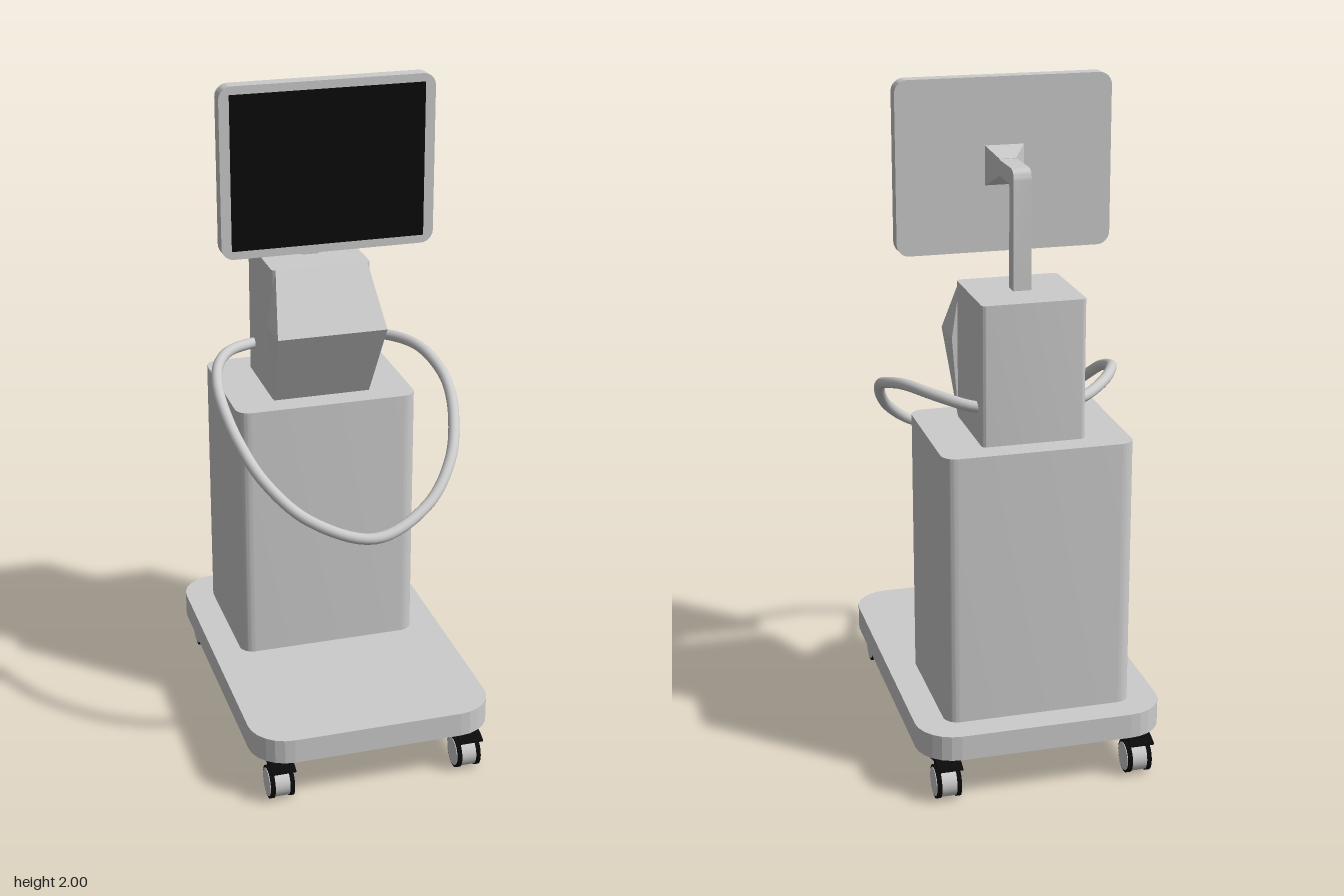
import * as THREE from 'three';
import { toCreasedNormals } from 'three/addons/utils/BufferGeometryUtils.js';

const grey = new THREE.MeshStandardMaterial({ color: 0xcccccc });
const black = new THREE.MeshStandardMaterial({ color: 0x0a0a0a });

function add(parent, name, geometry, material = grey) {
  const mesh = new THREE.Mesh(geometry, material);
  mesh.name = name;
  parent.add(mesh);
  return mesh;
}

// Rounded rectangle centred on the origin
function roundedRect(w, h, r) {
  const x = w / 2, y = h / 2, q = Math.PI / 2;
  const s = new THREE.Shape();
  s.absarc(x - r, y - r, r, 0, q);
  s.absarc(-x + r, y - r, r, q, 2 * q);
  s.absarc(-x + r, -y + r, r, 2 * q, 3 * q);
  s.absarc(x - r, -y + r, r, 3 * q, 4 * q);
  s.closePath();
  return s;
}

const extrude = (shape, depth, curveSegments) =>
  new THREE.ExtrudeGeometry(shape, { depth, curveSegments, bevelEnabled: false });

// Upright block with rounded vertical edges
function block(w, d, r, y0, y1, z, segments, smooth = true) {
  const g = extrude(roundedRect(w, d, r), y1 - y0, segments).rotateX(-Math.PI / 2).translate(0, y0, z);
  return smooth ? toCreasedNormals(g, 0.6) : g;
}

// Side profile of [z, y] points, extruded to a width across x
function sideProfile(shape, width, segments = 6) {
  return toCreasedNormals(
    extrude(shape, width, segments).rotateY(-Math.PI / 2).translate(width / 2, 0, 0), 0.6);
}

// Solid skinned through equal-sided loops, capped at both ends
function loft(loops) {
  const pos = [];
  const tri = (a, b, c) => pos.push(...a, ...b, ...c);
  const n = loops[0].length;
  for (let k = 0; k + 1 < loops.length; k++) {
    for (let i = 0; i < n; i++) {
      const j = (i + 1) % n, A = loops[k], B = loops[k + 1];
      tri(A[i], A[j], B[j]);
      tri(A[i], B[j], B[i]);
    }
  }
  const first = loops[0], last = loops[loops.length - 1];
  for (let i = 1; i + 1 < n; i++) {
    tri(first[0], first[i + 1], first[i]);
    tri(last[0], last[i], last[i + 1]);
  }
  const g = new THREE.BufferGeometry();
  g.setAttribute('position', new THREE.Float32BufferAttribute(pos, 3));
  g.computeVertexNormals();
  return g;
}

// Swivel caster with its stem on the origin and the wheel trailing to +z
function createCaster() {
  const caster = new THREE.Group();
  caster.name = 'caster';
  const disc = (r, w, y, z) =>
    new THREE.CylinderGeometry(r, r, w, 28).rotateZ(Math.PI / 2).translate(0, y, z);
  const wy = 0.052, wz = 0.022;
  for (const s of [-1, 1]) {
    add(caster, 'tyre', disc(0.049, 0.013, wy, wz).translate(s * 0.029, 0, 0), black);
    add(caster, 'hubCap', disc(0.042, 0.003, wy, wz).translate(s * 0.036, 0, 0));
  }
  add(caster, 'wheelCore', disc(0.046, 0.046, wy, wz));
  add(caster, 'stem', new THREE.CylinderGeometry(0.012, 0.012, 0.03, 16).translate(0, 0.13, 0));
  add(caster, 'swivelHousing', new THREE.BoxGeometry(0.05, 0.045, 0.036).translate(0, 0.107, -0.002), black);
  // Curved guard above the wheel
  const guard = new THREE.Shape();
  guard.moveTo(-0.022, 0.104);
  guard.quadraticCurveTo(0.03, 0.13, 0.084, 0.111);
  guard.lineTo(0.082, 0.117);
  guard.quadraticCurveTo(0.03, 0.142, -0.022, 0.122);
  guard.closePath();
  add(caster, 'guard', sideProfile(guard, 0.072), black);
  return caster;
}

export function createModel() {
  const model = new THREE.Group();
  model.name = 'medicalCart';

  // Base, column and head
  add(model, 'basePlate', block(0.73, 1.044, 0.112, 0.142, 0.217, 0, 3, false));
  add(model, 'column', block(0.556, 0.44, 0.042, 0.217, 1.022, -0.217, 6));
  add(model, 'head', block(0.3, 0.292, 0.012, 1.022, 1.43, -0.219, 4));

  // Peaked front panel of the head
  const rib = (w, y, zFront) => [[-w, y, -0.08], [-w, y, zFront], [w, y, zFront], [w, y, -0.08]];
  add(model, 'frontPanel', loft([rib(0.148, 1.022, -0.072), rib(0.166, 1.258, 0.046), rib(0.14, 1.43, -0.072)]));

  // Monitor
  add(model, 'monitorHousing',
    toCreasedNormals(extrude(roundedRect(0.632, 0.5, 0.037), 0.046, 5), 0.6).translate(0, 1.75, -0.046));
  add(model, 'screen', new THREE.BoxGeometry(0.572, 0.452, 0.004).translate(0, 1.75, -0.001), black);

  // Tapered mount behind the monitor
  const square = (h, z) => [[-h, 1.75 - h, z], [h, 1.75 - h, z], [h, 1.75 + h, z], [-h, 1.75 + h, z]];
  add(model, 'monitorMount', loft([square(0.024, -0.082), square(0.058, -0.045)]));

  // Bent monitor arm
  const arm = new THREE.Shape();
  arm.moveTo(-0.236, 1.42);
  arm.lineTo(-0.192, 1.42);
  arm.lineTo(-0.192, 1.719);
  arm.lineTo(-0.185, 1.727);
  arm.lineTo(-0.075, 1.727);
  arm.lineTo(-0.075, 1.773);
  arm.lineTo(-0.205, 1.773);
  arm.quadraticCurveTo(-0.236, 1.773, -0.236, 1.742);
  arm.closePath();
  add(model, 'monitorArm', sideProfile(arm, 0.052));

  // Looped handle, mirrored about its foremost point
  const half = [
    [0.12, 1.12, -0.315], [0.17, 1.124, -0.292], [0.25, 1.138, -0.215], [0.31, 1.139, -0.105],
    [0.337, 1.115, 0.0], [0.341, 1.08, 0.1], [0.323, 1.018, 0.2], [0.276, 0.937, 0.305], [0.175, 0.85, 0.4]];
  const points = [...half, [0, 0.797, 0.458], ...half.map(([x, y, z]) => [-x, y, z]).reverse()]
    .map((p) => new THREE.Vector3(...p));
  add(model, 'loopHandle', new THREE.TubeGeometry(new THREE.CatmullRomCurve3(points), 96, 0.0165, 14));

  // Casters under the four corners
  for (const x of [-0.287, 0.287]) {
    for (const s of [-1, 1]) {
      const caster = createCaster();
      caster.position.set(x, 0, s * 0.441);
      if (s < 0) caster.rotation.y = Math.PI;
      model.add(caster);
    }
  }
  return model;
}
